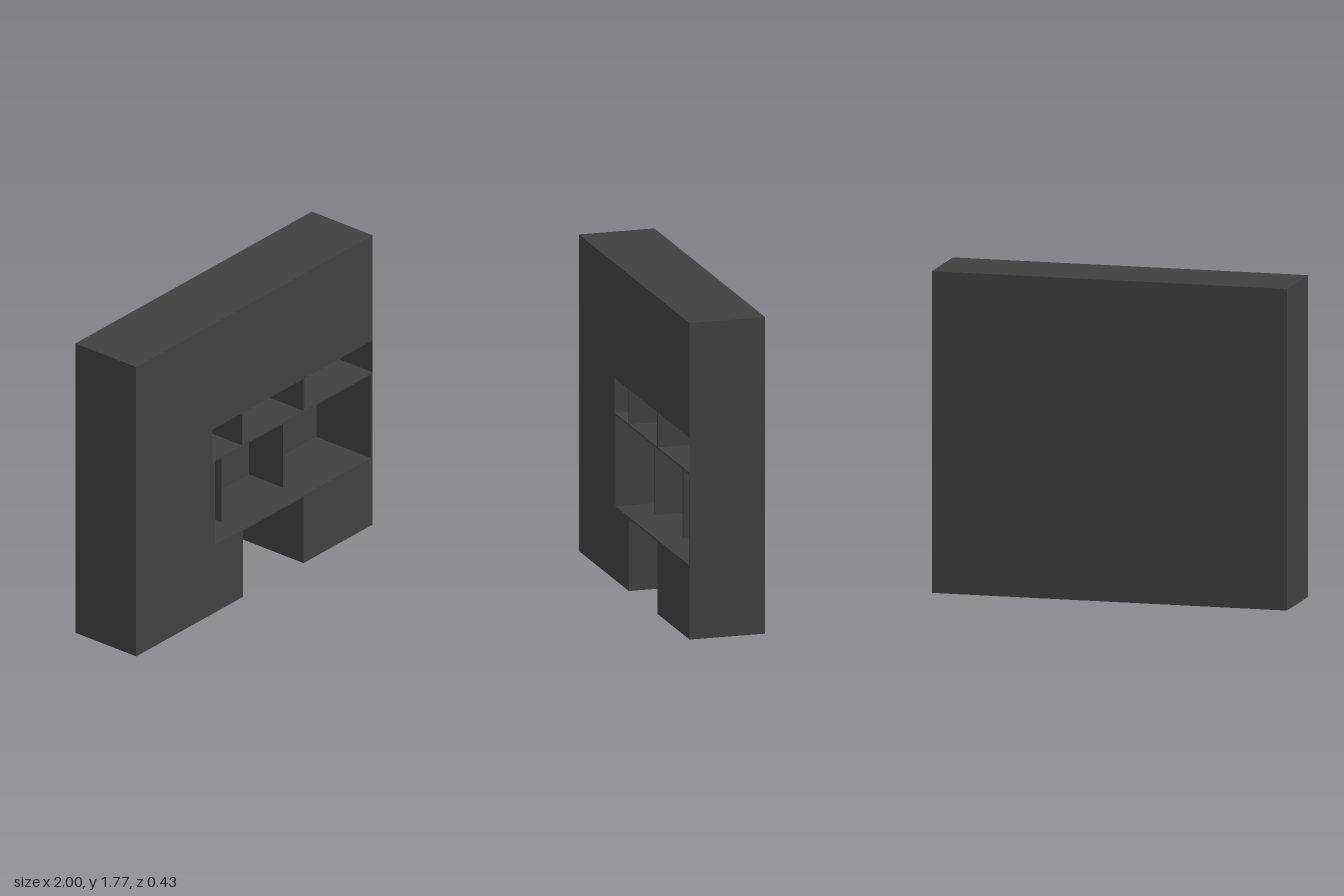
import * as THREE from 'three';

const W = 1, H = 1.775, D = 0.215; // half width, height, half depth
const DIVIDERS = [-0.101, 0.421];
const T = 0.012; // board thickness

export function createModel() {
  const group = new THREE.Group();
  const material = new THREE.MeshStandardMaterial({ color: 0x404040, flatShading: true });
  const thin = material.clone();
  thin.side = THREE.DoubleSide;

  const add = (name, geometry, mat = material) => {
    const mesh = new THREE.Mesh(geometry, mat);
    mesh.name = name;
    group.add(mesh);
    return mesh;
  };
  const box = (name, x0, x1, y0, y1, z0, z1) =>
    add(name, new THREE.BoxGeometry(x1 - x0, y1 - y0, z1 - z0))
      .position.set((x0 + x1) / 2, (y0 + y1) / 2, (z0 + z1) / 2);
  const backPanel = (name, x0, x1, y0, y1) =>
    add(name, new THREE.PlaneGeometry(x1 - x0, y1 - y0), thin)
      .position.set((x0 + x1) / 2, (y0 + y1) / 2, -D);
  const points = (list) => list.map(([x, y]) => new THREE.Vector2(x, y));

  // Wall block: floor opening below, shelf slot running to the +x side, middle recess as a hole
  const outline = new THREE.Shape(points([
    [-W, 0], [-0.095, 0], [-0.095, 0.405], [0.416, 0.405], [0.416, 0], [W, 0],
    [W, 0.935], [-0.355, 0.935], [-0.355, 1.13], [W, 1.13], [W, H], [-W, H],
  ]));
  outline.holes.push(new THREE.Path(points([
    [-0.335, 0.415], [-0.335, 0.925], [0.985, 0.925], [0.985, 0.415],
  ])));
  const wall = new THREE.ExtrudeGeometry(outline, { depth: 2 * D, bevelEnabled: false });
  wall.translate(0, 0, -D);
  add('wallBlock', wall);

  // Thin panels closing the slot and the floor opening
  backPanel('upperSlotBack', -0.355, W, 0.935, 1.13);
  backPanel('floorOpeningBack', -0.095, 0.416, 0, 0.405);
  const side = add('upperSlotSide', new THREE.PlaneGeometry(2 * D, 0.195), thin);
  side.rotation.y = Math.PI / 2;
  side.position.set(W, 1.0325, 0);

  // Thicker back of the middle recess
  box('middleRecessBack', -0.335, 0.985, 0.415, 0.925, -D, -0.17);

  // Upright dividers: flush in the upper slot, set back in the middle recess
  for (const x of DIVIDERS) {
    box('upperDivider', x - T / 2, x + T / 2, 0.935, 1.13, -D, D);
    box('middleDivider', x - T / 2, x + T / 2, 0.415, 0.925, -0.17, 0.07);
  }
  return group;
}
